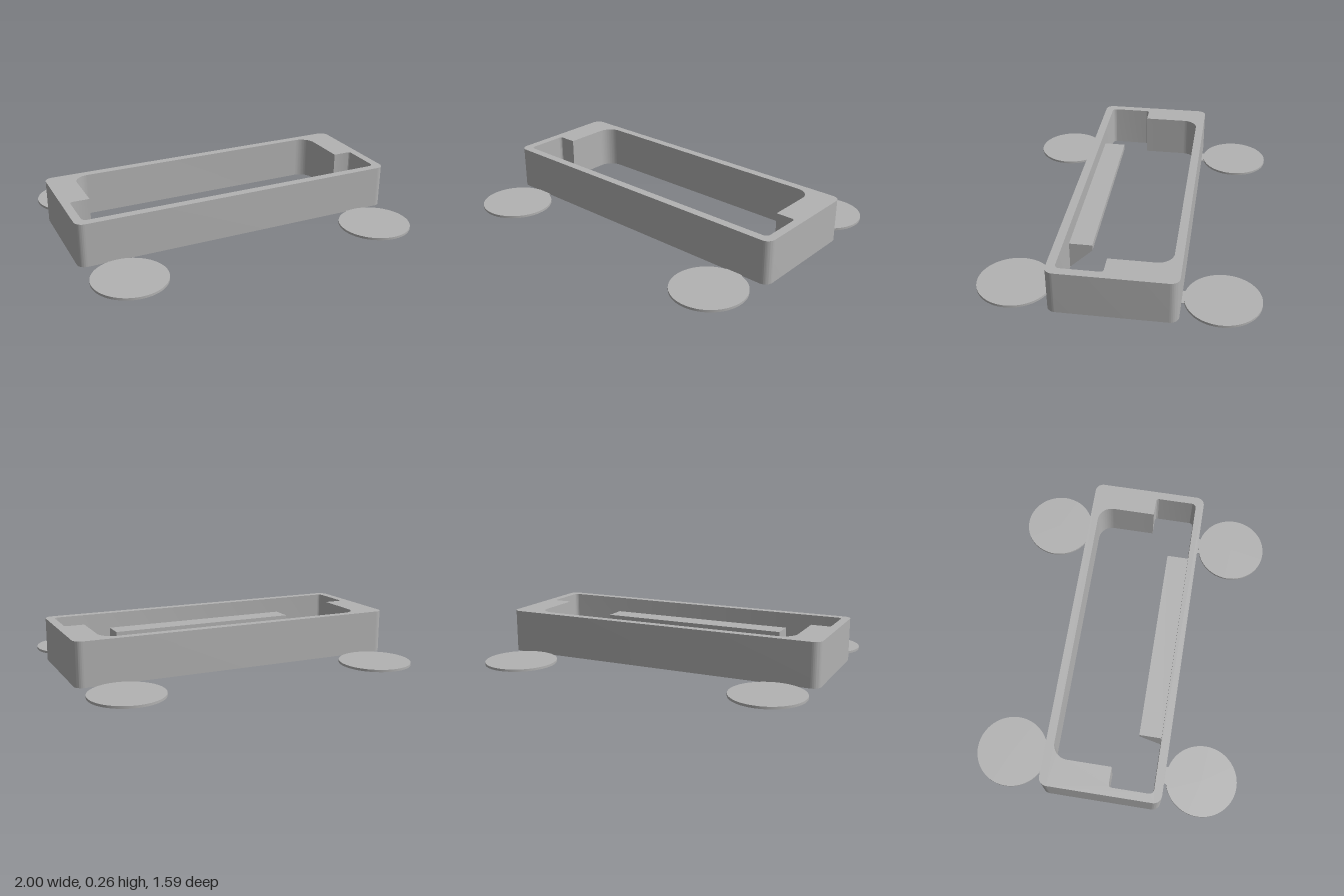
import * as THREE from 'three';
import { toCreasedNormals } from 'three/addons/utils/BufferGeometryUtils.js';

// Closed outline through [x, z, cornerRadius] points
function roundedOutline(points, PathType) {
  const path = new PathType();
  const n = points.length;
  points.forEach(([x, z, r], i) => {
    const corner = new THREE.Vector2(x, z);
    const toward = ([px, pz]) =>
      new THREE.Vector2(px, pz).sub(corner).setLength(r).add(corner);
    const a = toward(points[(i + n - 1) % n]);
    const b = toward(points[(i + 1) % n]);
    if (i === 0) path.moveTo(a.x, a.y);
    else path.lineTo(a.x, a.y);
    if (r > 0) {
      // Corners are right angles, so the arc centre completes a square
      const c = a.clone().add(b).sub(corner);
      const start = Math.atan2(a.y - c.y, a.x - c.x);
      const end = Math.atan2(b.y - c.y, b.x - c.x);
      const turn = Math.sin(end - start) < 0;
      path.absarc(c.x, c.y, r, start, end, turn);
    }
  });
  path.closePath();
  return path;
}

export function createModel() {
  const model = new THREE.Group();
  const grey = new THREE.MeshStandardMaterial({ color: 0xb2b2b2 });
  grey.name = 'grey plastic';

  const add = (name, geometry, x = 0, y = 0, z = 0) => {
    const mesh = new THREE.Mesh(geometry, grey);
    mesh.name = name;
    mesh.position.set(x, y, z);
    model.add(mesh);
  };

  const height = 0.26;
  const back = -0.36;
  const front = 0.354;

  // Frame with a stepped opening: thick side walls at the back, thin at the front
  const outline = roundedOutline([
    [-1, back, 0.05], [1, back, 0.05], [1, front, 0.05], [-1, front, 0.05],
  ], THREE.Shape);
  outline.holes.push(roundedOutline([
    [-0.832, -0.31, 0.09], [0.832, -0.31, 0.09],
    [0.832, 0.043, 0], [0.95, 0.043, 0.018],
    [0.95, 0.304, 0.028], [-0.95, 0.304, 0.028],
    [-0.95, 0.043, 0.018], [-0.832, 0.043, 0],
  ], THREE.Path));
  const frame = new THREE.ExtrudeGeometry(outline, {
    depth: height, bevelEnabled: false, curveSegments: 12,
  });
  frame.rotateX(Math.PI / 2).translate(0, height, 0);
  add('frame', toCreasedNormals(frame, 0.6));

  // Ledge on the inside of the front wall, with a sloped underside
  const ledgeProfile = new THREE.Shape([
    new THREE.Vector2(-0.306, 0),
    new THREE.Vector2(-0.306, 0.165),
    new THREE.Vector2(-0.17, 0.165),
    new THREE.Vector2(-0.17, 0.13),
  ]);
  const ledge = new THREE.ExtrudeGeometry(ledgeProfile, { depth: 1.2, bevelEnabled: false });
  ledge.rotateY(Math.PI / 2).translate(-0.6, 0, 0);
  add('ledge', ledge);

  // Thin corner pads, each joined to the frame by a small tab
  const padThickness = 0.014;
  const padGeometry = new THREE.CylinderGeometry(0.214, 0.214, padThickness, 64);
  const tabGeometry = new THREE.BoxGeometry(0.104, 0.005, 0.03);
  for (const side of [-1, 1]) {
    for (const [end, wall, padZ] of [['back', back, -0.585], ['front', front, 0.58]]) {
      const label = side > 0 ? 'Left' : 'Right';
      add(`${end}${label}Pad`, padGeometry, side * 0.786, padThickness / 2, padZ);
      add(`${end}${label}Tab`, tabGeometry, side * 0.784, 0.0025, wall + Math.sign(wall) * 0.013);
    }
  }

  return model;
}
